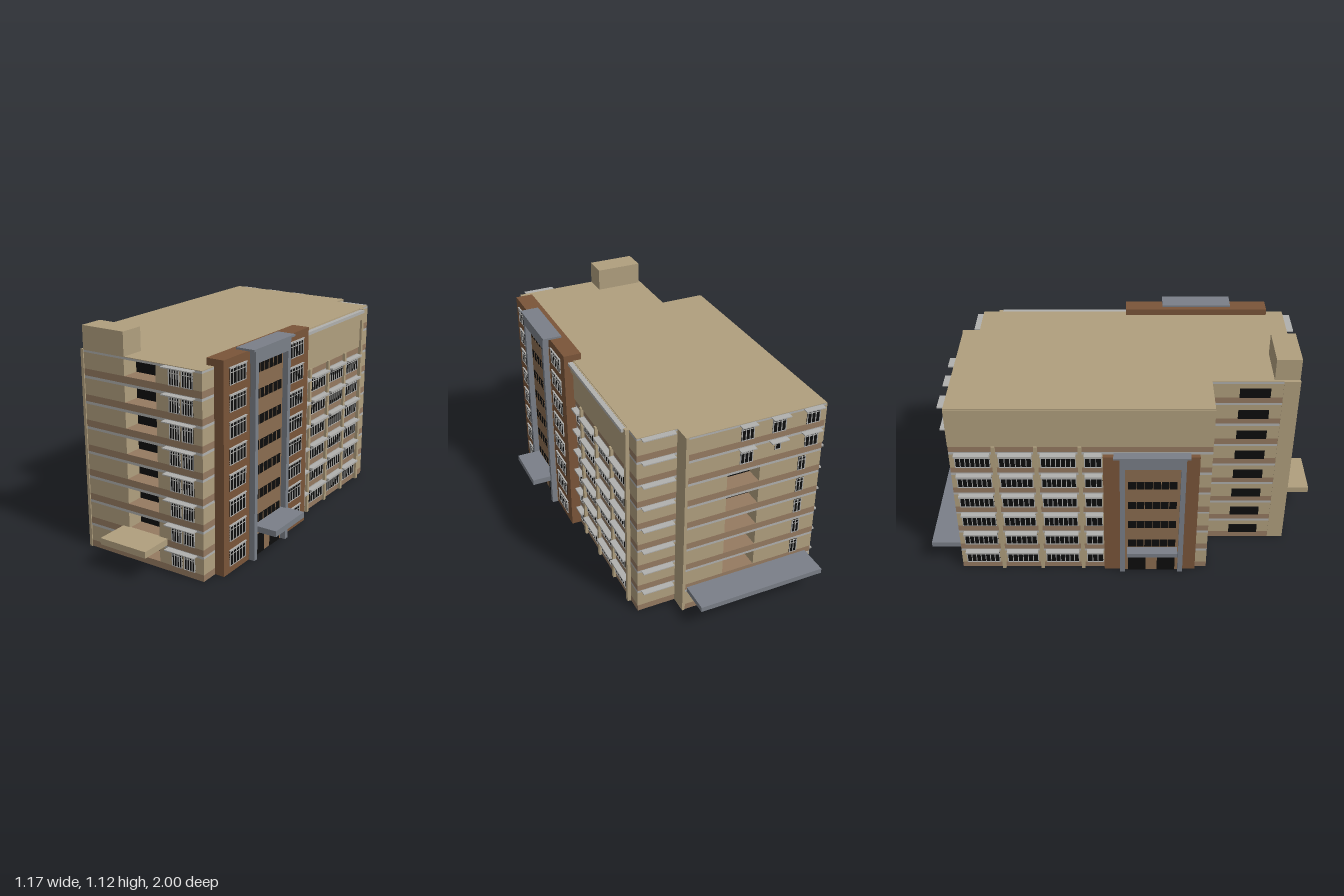
import * as THREE from 'three';

const mat = (color) => new THREE.MeshStandardMaterial({ color });
const tan = mat(0xb09f7e), band = mat(0x957a61), brown = mat(0x7a5539), panel = mat(0x8a6d50);
const grey = mat(0x7a7f88), light = mat(0xb0b0ae), black = mat(0x0d0d0d);
const FLOOR = 0.125, FLOORS = 8;

// Box from its lower and upper limits on each axis
function box(parent, name, m, x0, x1, y0, y1, z0, z1) {
  const mesh = new THREE.Mesh(new THREE.BoxGeometry(x1 - x0, y1 - y0, z1 - z0), m);
  mesh.position.set((x0 + x1) / 2, (y0 + y1) / 2, (z0 + z1) / 2);
  mesh.name = name;
  parent.add(mesh);
}

// Box on a wall: u runs along the wall, d0..d1 goes outward from the wall plane
function onWall(parent, name, m, wall, u0, u1, y0, y1, d0, d1) {
  const a = wall.at + wall.out * d0, b = wall.at + wall.out * d1;
  const lo = Math.min(a, b), hi = Math.max(a, b);
  if (wall.axis === 'x') box(parent, name, m, lo, hi, y0, y1, u0, u1);
  else box(parent, name, m, u0, u1, y0, y1, lo, hi);
}

// Dark pane with a light frame, upright bars and one cross bar
function addWindow(parent, wall, u0, u1, y0, y1, panes, t = 0.004) {
  const g = new THREE.Group();
  g.name = 'window';
  parent.add(g);
  onWall(g, 'glass', black, wall, u0, u1, y0, y1, -0.004, 0.003);
  for (let i = 0; i <= panes; i++) {
    const u = u0 + (u1 - u0 - t) * i / panes;
    onWall(g, 'windowBar', light, wall, u, u + t, y0, y1, 0, 0.006);
  }
  for (const y of [y0, y0 + (y1 - y0) * 0.72, y1 - t]) {
    onWall(g, 'windowRail', light, wall, u0, u1, y, y + t * 0.8, 0, 0.005);
  }
}

// Horizontal layer of the building; notches are open balconies in the front and back
function layer(parent, name, m, y0, y1, front, back) {
  const p = [[-0.51, 0.415], [-0.28, 0.415], [-0.28, 0.835]];
  if (front) p.push([-0.03, 0.835], [-0.03, 0.745], [0.15, 0.745], [0.15, 0.835]);
  p.push([0.40, 0.835], [0.40, -0.76], [0.20, -0.76], [0.20, -0.845]);
  if (back) p.push([-0.01, -0.845], [-0.01, -0.755], [-0.18, -0.755], [-0.18, -0.845]);
  p.push([-0.51, -0.845]);
  const shape = new THREE.Shape(p.map(([x, z]) => new THREE.Vector2(x, -z)));
  const geo = new THREE.ExtrudeGeometry(shape, { depth: y1 - y0, bevelEnabled: false });
  geo.rotateX(-Math.PI / 2);
  const mesh = new THREE.Mesh(geo, m);
  mesh.position.y = y0;
  mesh.name = name;
  parent.add(mesh);
}

const WALLS = {
  front: { axis: 'z', at: 0.835, out: 1 },
  back: { axis: 'z', at: -0.845, out: -1 },
  backStep: { axis: 'z', at: -0.76, out: -1 },
  left: { axis: 'x', at: 0.40, out: 1 },
  right: { axis: 'x', at: -0.51, out: -1 },
  leftTower: { axis: 'x', at: 0.45, out: 1 },
  rightTower: { axis: 'x', at: -0.53, out: -1 },
};

function buildBody(root) {
  const g = new THREE.Group();
  g.name = 'body';
  root.add(g);
  for (let i = 0; i < FLOORS; i++) {
    const y = i * FLOOR, hasBack = i >= 1 && i <= 5;
    layer(g, 'floorBand', band, y, y + 0.033, false, false);
    layer(g, 'wall', tan, y + 0.033, y + 0.112, true, hasBack);
    layer(g, 'greyBand', light, y + 0.112, i === 7 ? 0.997 : y + FLOOR, false, false);
    box(g, 'balconyBack', black, -0.03, 0.15, y + 0.033, y + 0.112, 0.742, 0.748);
    if (hasBack) box(g, 'balconyBack', black, -0.18, -0.01, y + 0.033, y + 0.112, -0.758, -0.752);
  }
  layer(g, 'roof', tan, 0.997, 1.0, false, false);
  box(g, 'roofRoom', tan, -0.268, -0.027, 1.0, 1.115, 0.715, 0.838);
  // Plain upright strips at the corners
  box(g, 'cornerStrip', tan, -0.283, -0.268, 0, 1, 0.76, 0.84);
  box(g, 'cornerStrip', tan, 0.19, 0.204, 0, 1, -0.848, -0.757);
}

function buildFrontAndBack(root) {
  const g = new THREE.Group();
  g.name = 'frontAndBackDetails';
  root.add(g);
  const { front, back, backStep } = WALLS;
  for (let i = 0; i < FLOORS; i++) {
    const y = i * FLOOR, y0 = y + 0.034, y1 = y + 0.11;
    addWindow(g, front, 0.222, 0.28, y0, y1, 4);
    addWindow(g, front, 0.292, 0.352, y0, y1, 4);
    onWall(g, 'sunshade', light, front, 0.20, 0.365, y + 0.117, y + 0.122, 0, 0.035);
    onWall(g, 'sunshade', light, backStep, 0.22, 0.38, y + 0.117, y + 0.122, 0, 0.03);
    // Slit windows in the side of the front wing
    box(g, 'slitWindow', black, -0.286, -0.28, y0, y0 + 0.05, 0.55, 0.70);
    if (i > 5) {
      addWindow(g, back, -0.135, -0.07, y0, y1, 3);
      addWindow(g, back, -0.48, -0.41, y0, y1, 3);
      if (i === 7) addWindow(g, back, -0.30, -0.23, y0, y1, 3);
      else addWindow(g, back, -0.28, -0.25, y0 + 0.03, y1, 1);
      for (const [a, b] of [[-0.14, -0.06], [-0.31, -0.22], [-0.49, -0.39]]) {
        onWall(g, 'sunshade', light, back, a, b, y + 0.115, y + 0.12, 0, 0.03);
      }
    } else addWindow(g, back, -0.425, -0.385, y0, y1, 2);
  }
  box(g, 'frontCanopy', tan, -0.068, 0.195, 0.13, 0.162, 0.83, 1.0);
  box(g, 'backCanopy', grey, -0.48, 0.18, 0.112, 0.138, -1.0, -0.84);
}

// Six storeys of windows between upright ribs, with a plain wall above
function buildBays(root, name, wall, bays, ribs, u0, u1) {
  const g = new THREE.Group();
  g.name = name;
  root.add(g);
  for (let i = 0; i < 6; i++) {
    const y = i * FLOOR;
    for (const [a, b] of bays) {
      addWindow(g, wall, a, b, y + 0.034, y + 0.108, Math.max(3, Math.round((b - a) / 0.025)));
      onWall(g, 'sunshade', light, wall, a, b, y + 0.11, y + 0.12, 0, 0.03);
    }
  }
  for (const r of ribs) onWall(g, 'rib', tan, wall, r - 0.009, r + 0.009, 0, 0.79, 0, 0.015);
  onWall(g, 'upperWall', tan, wall, u0, u1, 0.785, 0.997, -0.002, 0.006);
}

// Projecting entrance tower with a grey portal, strip windows and two doors
function buildTower(root, name, wall, o) {
  const g = new THREE.Group();
  g.name = name;
  root.add(g);
  const { z0, z1, f0, f1, top, depth, proud, floors, post } = o;
  onWall(g, 'towerWall', brown, wall, z0, z1, 0, top, -depth, 0);
  onWall(g, 'portalPanel', panel, wall, f0, f1, 0, top - 0.06, 0, 0.003);
  for (const [a, b] of [[f0, f0 + post], [f1 - post, f1]]) {
    onWall(g, 'portalPost', grey, wall, a, b, 0, top, -0.005, proud);
  }
  onWall(g, 'portalBeam', grey, wall, f0, f1, top - 0.06, top, -0.005, proud);
  onWall(g, 'portalCap', grey, wall, f0 - 0.03, f1 + 0.02, top, top + 0.01, -Math.min(depth, 0.06), proud + 0.005);
  const a = f0 + post + 0.015, b = f1 - post - 0.015, w = b - a;
  for (let i = 1; i < floors; i++) {
    const y = i * FLOOR + 0.04;
    onWall(g, 'stripWindow', black, wall, a, b, y, y + 0.045, 0, 0.006);
    for (let k = 1; k < 6; k++) {
      onWall(g, 'stripBar', panel, wall, a + w * k / 6, a + w * k / 6 + 0.003, y, y + 0.045, 0, 0.008);
    }
  }
  for (const d of [a, b - w * 0.38]) onWall(g, 'door', black, wall, d, d + w * 0.38, 0, 0.105, 0, 0.006);
  const [c0, c1, cy0, cy1, reach] = o.canopy;
  onWall(g, 'entranceCanopy', grey, wall, c0, c1, cy0, cy1, 0, reach);
  for (const [p, q] of o.windows) {
    for (let i = 0; i < floors; i++) {
      const y = i * FLOOR;
      addWindow(g, wall, p, q, y + 0.035, y + 0.112, 5);
      onWall(g, 'sunshade', light, wall, p - 0.005, q + 0.005, y + 0.114, y + 0.118, 0, 0.008);
    }
  }
}

export function createModel() {
  const root = new THREE.Group();
  root.name = 'building';
  buildBody(root);
  buildFrontAndBack(root);

  buildBays(root, 'leftBays', WALLS.left,
    [[-0.085, -0.016], [-0.28, -0.118], [-0.475, -0.31], [-0.655, -0.492]],
    [-0.102, -0.295, -0.483], -0.66, 0);
  onWall(root, 'cornerRib', tan, WALLS.left, -0.68, -0.66, 0, 1, 0, 0.018);
  onWall(root, 'cornice', tan, WALLS.left, -0.66, 0, 0.94, 0.98, 0, 0.018);
  onWall(root, 'corniceCap', light, WALLS.left, -0.66, 0, 0.98, 0.996, 0, 0.03);

  buildBays(root, 'rightBays', WALLS.right,
    [[-0.82, -0.65], [-0.61, -0.45], [-0.41, -0.24], [-0.20, -0.115]],
    [-0.63, -0.43, -0.22], -0.845, 0.415);

  buildTower(root, 'leftTower', WALLS.leftTower, {
    z0: 0, z1: 0.745, f0: 0.225, f1: 0.535, top: 1.033, depth: 0.09, proud: 0.032, floors: 8, post: 0.025,
    canopy: [0.24, 0.505, 0.14, 0.17, 0.132], windows: [[0.055, 0.185], [0.57, 0.70]],
  });
  buildTower(root, 'rightTower', WALLS.rightTower, {
    z0: -0.11, z1: 0.355, f0: -0.03, f1: 0.29, top: 0.735, depth: 0.02, proud: 0.02, floors: 6, post: 0.025,
    canopy: [0.005, 0.26, 0.135, 0.157, 0.055], windows: [],
  });
  return root;
}
